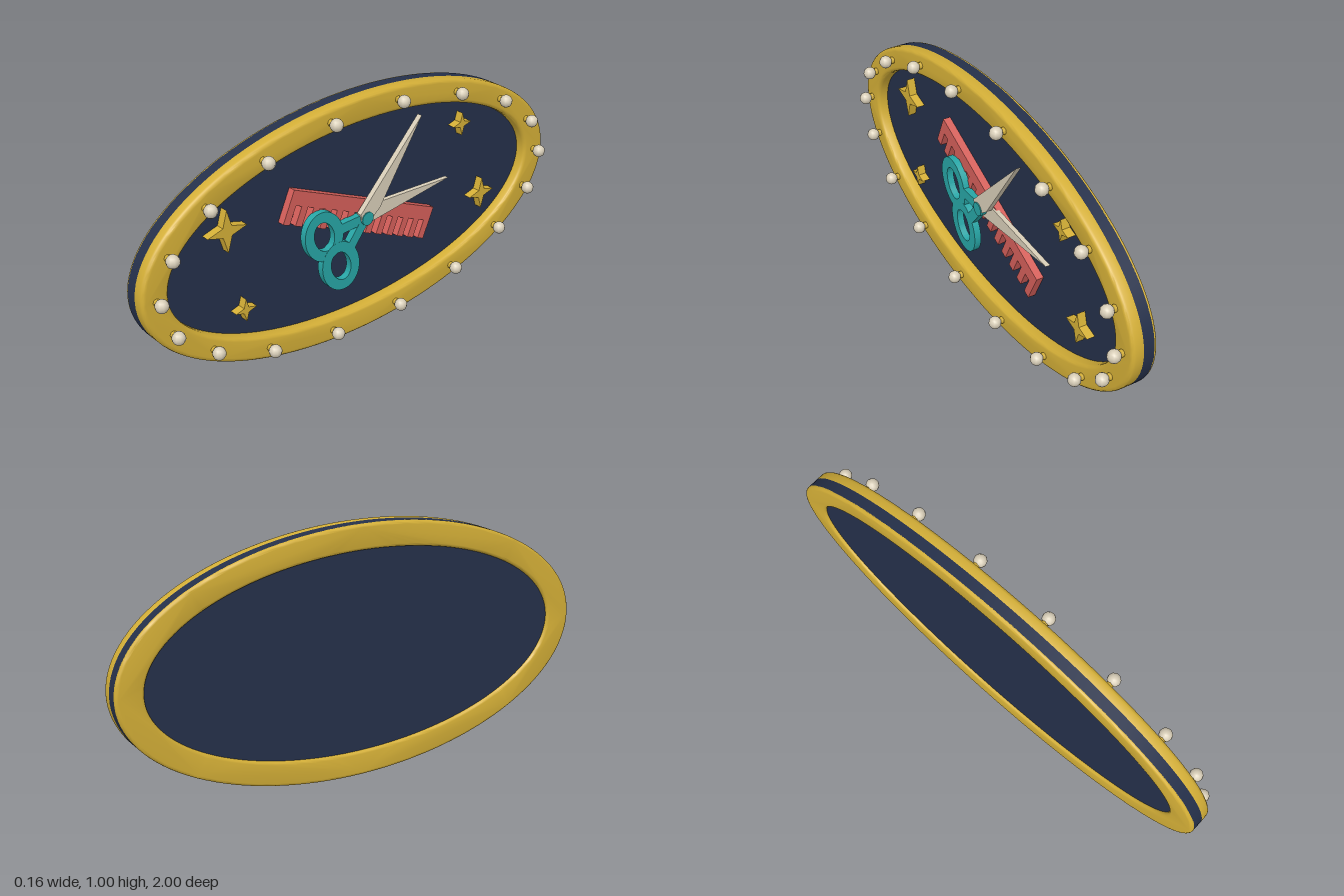
import * as THREE from 'three';
import { toCreasedNormals } from 'three/addons/utils/BufferGeometryUtils.js';

const mat = (name, color) => {
  const m = new THREE.MeshStandardMaterial({ color });
  m.name = name;
  return m;
};

export function createModel() {
  const gold = mat('gold', 0xd4af37);
  const navy = mat('navy', 0x25304a);
  const cream = mat('cream', 0xd8ceb8);
  const teal = mat('teal', 0x27a5a5);
  const coral = mat('coral', 0xd45f5a);

  // The sign is drawn in its own XY plane, then turned to face +x
  const sign = new THREE.Group();
  sign.name = 'ovalSign';
  sign.position.y = 0.5;
  sign.rotation.y = Math.PI / 2;

  const add = (name, geometry, material, x = 0, y = 0, z = 0, parent = sign) => {
    const mesh = new THREE.Mesh(geometry, material);
    mesh.name = name;
    mesh.position.set(x, y, z);
    parent.add(mesh);
    return mesh;
  };

  // Extrudes a shape between two depths, with an optional rounded edge
  const slab = (shape, z0, z1, bevel = 0) => {
    const g = new THREE.ExtrudeGeometry(shape, {
      depth: z1 - z0 - 2 * bevel, curveSegments: 64, bevelEnabled: bevel > 0,
      bevelSize: bevel, bevelThickness: bevel, bevelOffset: -bevel, bevelSegments: 3,
    });
    g.translate(0, 0, z0 + bevel);
    return toCreasedNormals(g, 0.6);
  };
  const ellipse = (rx, ry, Type = THREE.Shape) =>
    new Type().absellipse(0, 0, rx, ry, 0, Math.PI * 2, false, 0);
  const ring = (rx, ry, hx, hy) => {
    const s = ellipse(rx, ry);
    s.holes.push(ellipse(hx, hy, THREE.Path));
    return s;
  };
  const polygon = (pts) => new THREE.Shape(pts.map(([x, y]) => new THREE.Vector2(x, y)));

  // Board with a gold rim on each side
  add('board', slab(ellipse(1, 0.5), -0.068, -0.025), navy);
  add('frontRim', slab(ring(1, 0.5, 0.89, 0.4), -0.04, 0.02, 0.015), gold);
  add('backRim', slab(ring(1, 0.5, 0.89, 0.4), -0.08, -0.055, 0.012), gold);

  // Bulbs on short posts around the rim
  const postGeo = new THREE.CylinderGeometry(0.014, 0.014, 0.03, 8).rotateX(Math.PI / 2);
  const bulbGeo = new THREE.SphereGeometry(0.026, 10, 8);
  for (let i = 0; i < 18; i++) {
    const a = (i * Math.PI) / 9;
    const x = 0.942 * Math.cos(a), y = 0.45 * Math.sin(a);
    add('bulbPost', postGeo, gold, x, y, 0.025);
    add('bulb', bulbGeo, cream, x, y, 0.054);
  }

  // Four-pointed stars
  for (const [x, y, r] of [[-0.626, 0.155, 0.085], [0.524, 0.23, 0.048],
    [0.652, -0.12, 0.068], [-0.561, -0.195, 0.047]]) {
    const pts = [];
    for (let i = 0; i < 8; i++) {
      const d = i % 2 ? r * 0.32 : r, a = (i * Math.PI) / 4;
      pts.push([d * Math.cos(a), d * Math.sin(a)]);
    }
    add('star', slab(polygon(pts), -0.025, 0.008), gold, x, y);
  }

  // Comb: a spine with a row of teeth
  const comb = new THREE.Group();
  comb.name = 'comb';
  comb.rotation.z = -0.417;
  sign.add(comb);
  const combLength = 0.77, teeth = 13, toothWidth = 0.032;
  add('combSpine', new THREE.BoxGeometry(combLength, 0.058, 0.03), coral, 0, 0.039, -0.01, comb);
  const toothGeo = new THREE.BoxGeometry(toothWidth, 0.08, 0.03);
  for (let i = 0; i < teeth; i++) {
    const x = (i / (teeth - 1) - 0.5) * (combLength - toothWidth);
    add('combTooth', toothGeo, coral, x, -0.028, -0.01, comb);
  }

  // Scissors: each half is a blade, an arm and a finger ring on the far side
  const half = (name, angle, side, tip, z0, z1, handleZ) => {
    const g = new THREE.Group();
    g.name = name;
    g.rotation.z = angle;
    sign.add(g);
    add('blade', slab(polygon([[-0.02, -0.02 * side], [0, -0.042 * side], [tip, 0],
      [0.06, 0.034 * side], [0, 0.02 * side]].slice()), z0, z1), cream, 0, 0, 0, g);
    add('arm', new THREE.BoxGeometry(0.13, 0.042, 0.028), teal, -0.065, 0, handleZ, g);
    const finger = add('fingerRing', slab(ring(0.11, 0.088, 0.066, 0.045), -0.014, 0.014),
      teal, -0.207, 0, handleZ, g);
    finger.rotation.z = 1.97 - angle;
  };
  half('upperBlade', 0.908, -1, 0.444, 0.013, 0.036, 0.016);
  half('lowerBlade', 0.045, 1, 0.45, -0.006, 0.013, 0.0155);
  add('pivot', new THREE.CylinderGeometry(0.028, 0.028, 0.05, 16).rotateX(Math.PI / 2),
    teal, 0, 0, 0.015);

  const model = new THREE.Group();
  model.name = 'barberSign';
  model.add(sign);
  return model;
}
